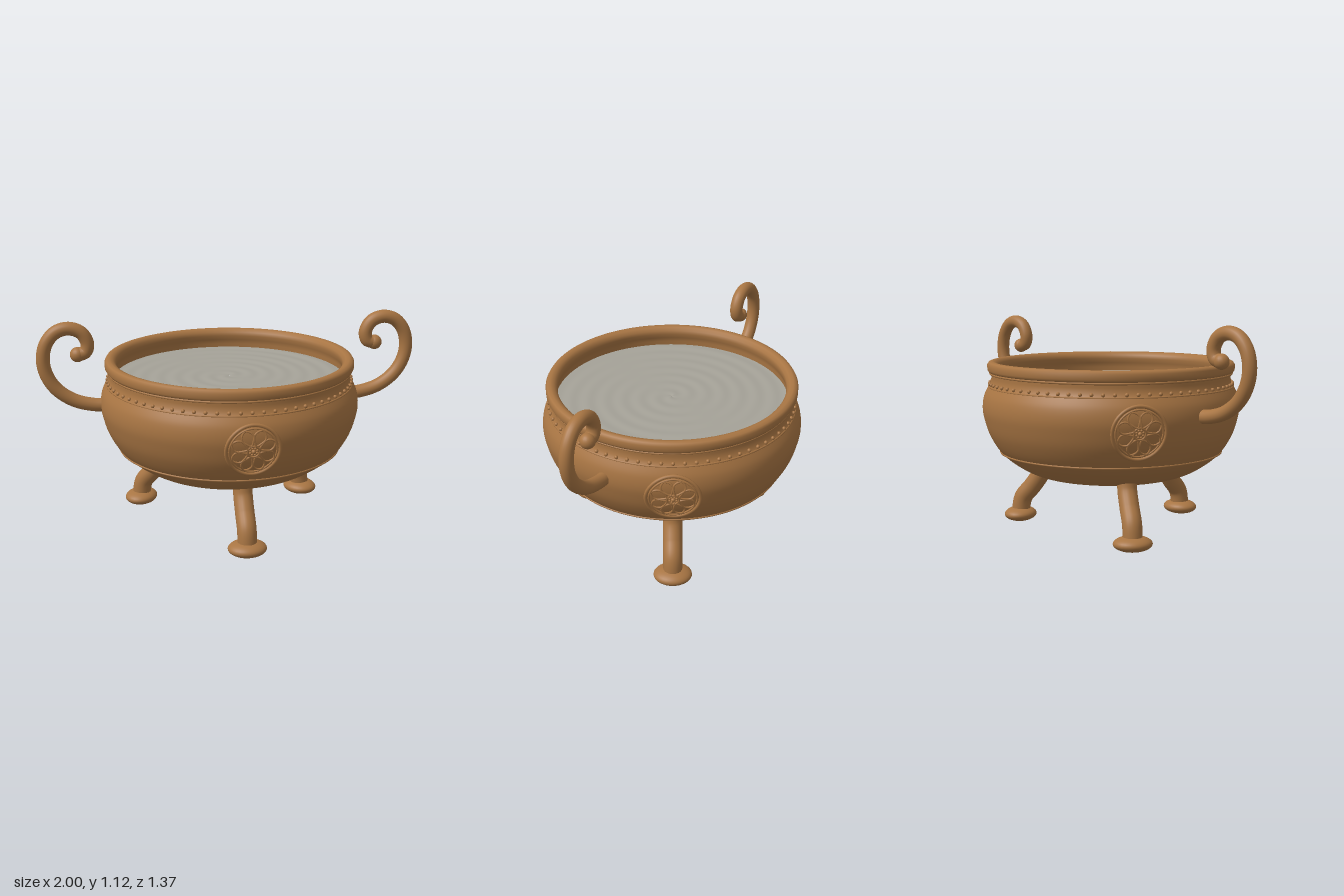
import * as THREE from 'three';
import { mergeVertices } from 'three/addons/utils/BufferGeometryUtils.js';

const bronze = new THREE.MeshStandardMaterial({ color: 0xa87543 });
bronze.name = 'bronze';
const broth = new THREE.MeshStandardMaterial({ color: 0xa5a298 });
broth.name = 'greyLiquid';

const V2 = (p) => new THREE.Vector2(p[0], p[1]);

// Outer bowl wall [radius, height], smoothed
const wall = new THREE.SplineCurve([
  [0.19, 0.28], [0.31, 0.291], [0.42, 0.318], [0.515, 0.37], [0.59, 0.435], [0.645, 0.525],
  [0.672, 0.61], [0.68, 0.67], [0.671, 0.73], [0.645, 0.785],
].map(V2)).getPoints(48);

// Bowl radius at a given height
function radiusAt(y) {
  for (let i = 1; i < wall.length; i++) {
    const a = wall[i - 1], b = wall[i];
    if (y <= b.y) return a.x + (b.x - a.x) * (y - a.y) / (b.y - a.y);
  }
  return wall[wall.length - 1].x;
}

function mesh(name, geometry, parent, material = bronze) {
  const m = new THREE.Mesh(geometry, material);
  m.name = name;
  parent.add(m);
  return m;
}

function tube(name, points, radius, parent, { closed = false, steps = 48, sides = 20 } = {}) {
  const curve = new THREE.CatmullRomCurve3(points, closed);
  return mesh(name, new THREE.TubeGeometry(curve, steps, radius, sides, closed), parent);
}

function hoop(name, radius, y, thickness, parent) {
  const m = mesh(name, new THREE.TorusGeometry(radius, thickness, 8, 96), parent);
  m.rotation.x = Math.PI / 2;
  m.position.y = y;
}

// Openwork flower that follows the curve of the bowl
function makeMedallion() {
  const g = new THREE.Group();
  g.name = 'medallion';
  const onBowl = (u, v, lift = 0.005) => {
    const y = 0.61 + v, r = radiusAt(y) + lift, t = u / 0.67;
    return new THREE.Vector3(r * Math.sin(t), y, r * Math.cos(t));
  };
  const ring = (name, radius, thickness) => {
    const pts = [];
    for (let i = 0; i < 24; i++) {
      const a = i / 24 * Math.PI * 2;
      pts.push(onBowl(radius * Math.cos(a), radius * Math.sin(a)));
    }
    tube(name, pts, thickness, g, { closed: true, steps: 64, sides: 8 });
  };
  ring('outerRing', 0.132, 0.009);
  ring('innerRing', 0.116, 0.005);
  ring('centreRing', 0.029, 0.005);
  for (let k = 0; k < 8; k++) {
    const a = k / 8 * Math.PI * 2 + Math.PI / 8, c = Math.cos(a), s = Math.sin(a);
    // Petal outline: [distance from centre, sideways]
    const petal = [[0.032, 0], [0.052, 0.018], [0.075, 0.029], [0.097, 0.022],
      [0.112, 0], [0.097, -0.022], [0.075, -0.029], [0.052, -0.018]]
      .map(([d, w]) => onBowl(d * c - w * s, d * s + w * c));
    tube('petal', petal, 0.005, g, { closed: true, steps: 32, sides: 6 });
    mesh('flowerBead', new THREE.SphereGeometry(0.006, 8, 6), g)
      .position.copy(onBowl(0.018 * c, 0.018 * s));
  }
  mesh('flowerCentre', new THREE.SphereGeometry(0.011, 12, 8), g).position.copy(onBowl(0, 0));
  return g;
}

// S-curved leg with a flattened foot, pointing to +z
function makeLeg() {
  const g = new THREE.Group();
  g.name = 'leg';
  tube('legShaft', [[0.39, 0.345], [0.405, 0.28], [0.455, 0.205], [0.512, 0.135], [0.53, 0.04]]
    .map(([z, y]) => new THREE.Vector3(0, y, z)), 0.05, g);
  const foot = mesh('foot', new THREE.SphereGeometry(1, 32, 20), g);
  foot.scale.set(0.1, 0.04, 0.086);
  foot.position.set(0, 0.042, 0.53);
  return g;
}

// Curled handle on the side given by the sign
function makeHandle(side) {
  const g = new THREE.Group();
  g.name = side > 0 ? 'leftHandle' : 'rightHandle';
  const path = [[0.63, 0.67], [0.72, 0.677], [0.82, 0.707], [0.905, 0.77], [0.953, 0.85],
    [0.966, 0.935], [0.945, 1.015], [0.895, 1.07], [0.83, 1.086], [0.768, 1.062],
    [0.738, 1.005], [0.75, 0.96], [0.79, 0.948]];
  tube('handleCurl', path.map(([x, y]) => new THREE.Vector3(side * x, y, 0)), 0.035, g, { steps: 96 });
  mesh('handleTip', new THREE.SphereGeometry(0.039, 20, 14), g).position.set(side * 0.79, 0.948, 0);
  return g;
}

export function createModel() {
  const model = new THREE.Group();
  model.name = 'cauldron';
  const pot = new THREE.Group();
  pot.name = 'pot';
  pot.position.z = -0.01;
  model.add(pot);

  // Bowl, neck and rounded rim
  mesh('bowl', new THREE.LatheGeometry([new THREE.Vector2(0, 0.28), ...wall], 96), pot);
  mesh('neck', new THREE.LatheGeometry([[0.645, 0.785], [0.636, 0.8], [0.632, 0.825], [0.635, 0.86]].map(V2), 96), pot);
  const rim = [[0.63, 0.848], [0.645, 0.853], [0.653, 0.866], [0.653, 0.892], [0.645, 0.905],
    [0.628, 0.91], [0.609, 0.905], [0.595, 0.89], [0.592, 0.87], [0.6, 0.845], [0.608, 0.82], [0.608, 0.74]];
  mesh('rim', new THREE.LatheGeometry(rim.map(V2), 96), pot);
  hoop('rimBand', 0.638, 0.846, 0.006, pot);
  hoop('upperBand', 0.645, 0.778, 0.006, pot);
  hoop('lowerBand', 0.588, 0.43, 0.005, pot);

  // Beads around the neck
  const beadGeometry = new THREE.SphereGeometry(0.01, 10, 8);
  const beads = new THREE.Group();
  beads.name = 'neckBeads';
  pot.add(beads);
  for (let i = 0; i < 72; i++) {
    const a = i / 72 * Math.PI * 2;
    mesh('bead', beadGeometry, beads).position.set(0.642 * Math.sin(a), 0.793, 0.642 * Math.cos(a));
  }

  // Liquid with a faint spiral ripple
  let surface = new THREE.RingGeometry(0.001, 0.609, 96, 48);
  surface.rotateX(-Math.PI / 2);
  surface.deleteAttribute('uv');
  surface.deleteAttribute('normal');
  surface = mergeVertices(surface, 1e-5);
  const p = surface.attributes.position;
  for (let i = 0; i < p.count; i++) {
    const x = p.getX(i), z = p.getZ(i), r = Math.hypot(x, z);
    p.setY(i, 0.8 + 0.0015 * Math.sin(70 * r + 2 * Math.atan2(z, x)));
  }
  surface.computeVertexNormals();
  mesh('liquid', surface, pot, broth);

  // Three legs and three medallions, evenly spaced
  for (let i = 0; i < 3; i++) {
    for (const part of [makeLeg(), makeMedallion()]) {
      part.rotation.y = i * Math.PI * 2 / 3;
      pot.add(part);
    }
  }
  pot.add(makeHandle(1), makeHandle(-1));
  return model;
}
